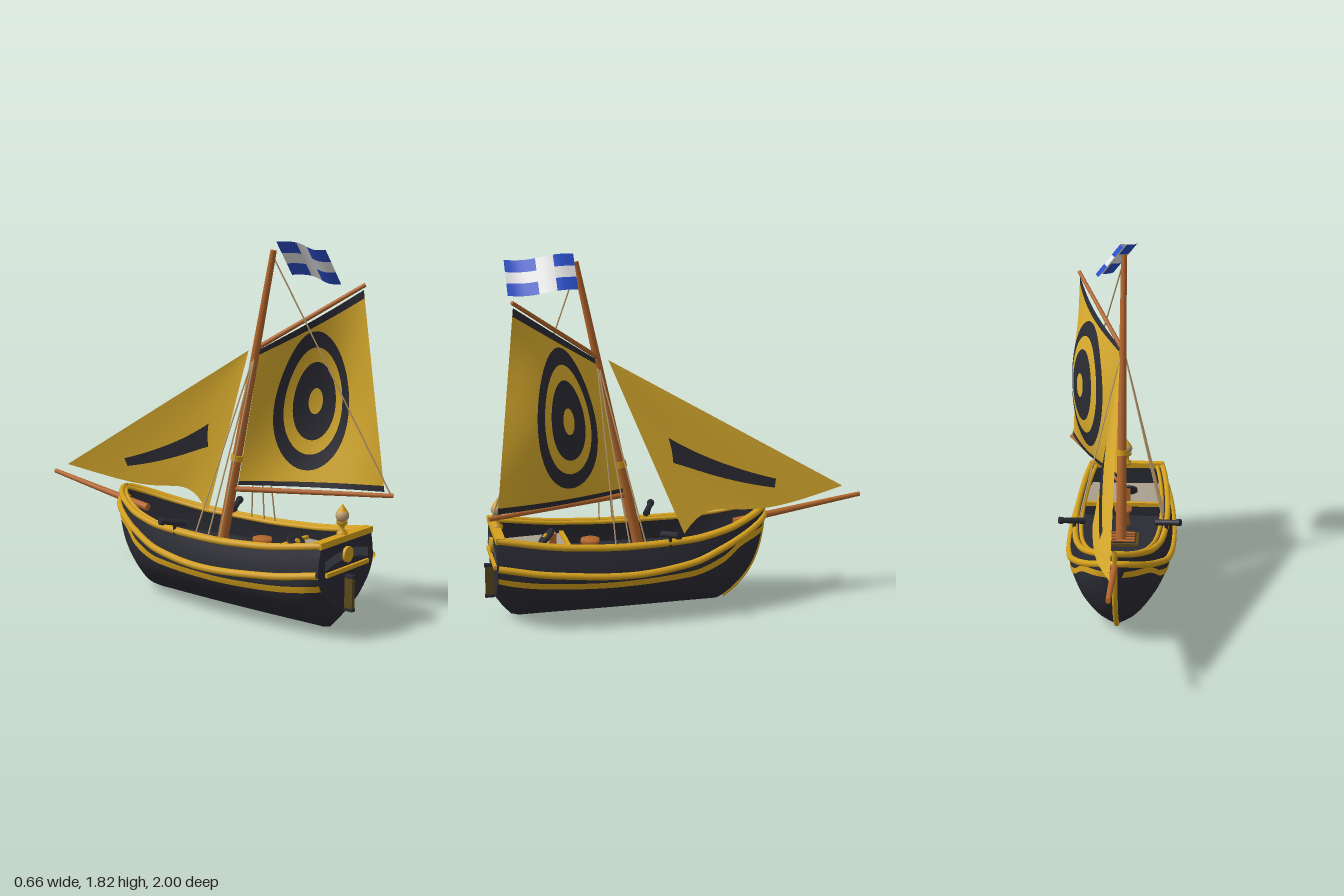
import * as THREE from 'three';

const mat = (name, color) => {
  const m = new THREE.MeshStandardMaterial({ color, side: THREE.DoubleSide });
  m.name = name;
  return m;
};
const V = (x, y, z) => new THREE.Vector3(x, y, z);
const lerp = THREE.MathUtils.lerp, clamp = THREE.MathUtils.clamp;

// smooth monotone interpolation through [x, y] pairs
function spline(p) {
  const d = p.slice(1).map((q, i) => (q[1] - p[i][1]) / (q[0] - p[i][0]));
  const m = p.map((_, i) => {
    if (i === 0) return d[0];
    if (i === p.length - 1) return d[i - 1];
    return d[i - 1] * d[i] <= 0 ? 0 : 2 * d[i - 1] * d[i] / (d[i - 1] + d[i]);
  });
  return (x) => {
    let i = 0;
    while (i < p.length - 2 && x > p[i + 1][0]) i++;
    const h = p[i + 1][0] - p[i][0], t = clamp((x - p[i][0]) / h, 0, 1), s = 1 - t;
    return p[i][1] * (1 + 2 * t) * s * s + m[i] * h * t * s * s +
      p[i + 1][1] * t * t * (3 - 2 * t) - m[i + 1] * h * t * t * s;
  };
}

// grid surface from fn(u, v) -> Vector3
function patch(fn, u0, u1, v0, v1, nu, nv) {
  const pos = [], idx = [];
  for (let i = 0; i <= nu; i++) for (let j = 0; j <= nv; j++)
    pos.push(...fn(lerp(u0, u1, i / nu), lerp(v0, v1, j / nv)).toArray());
  for (let i = 0; i < nu; i++) for (let j = 0; j < nv; j++) {
    const a = i * (nv + 1) + j, b = a + nv + 1;
    idx.push(a, b, a + 1, b, b + 1, a + 1);
  }
  const g = new THREE.BufferGeometry();
  g.setAttribute('position', new THREE.Float32BufferAttribute(pos, 3));
  g.setIndex(idx);
  g.computeVertexNormals();
  return g;
}

// hull lines, all along z (bow at -z)
const BOW = -0.46, STERN = 0.95;
const sheer = spline([[BOW, 0.5], [-0.4, 0.475], [-0.2, 0.42], [0, 0.395], [0.3, 0.39], [0.6, 0.405], [STERN, 0.455]]);
const keel = spline([[BOW, 0.49], [-0.452, 0.38], [-0.43, 0.27], [-0.39, 0.17], [-0.33, 0.09], [-0.26, 0.03], [-0.2, 0], [0.84, 0], [0.87, 0.01], [STERN, 0.11]]);
const beam = spline([[BOW, 0.012], [-0.45, 0.04], [-0.4, 0.1], [-0.3, 0.165], [-0.2, 0.21], [0, 0.255], [0.2, 0.273], [0.4, 0.278], [0.6, 0.272], [0.8, 0.255], [STERN, 0.23]]);
const section = spline([[0, 0], [0.1, 0.38], [0.27, 0.7], [0.43, 0.9], [0.62, 1], [0.8, 0.97], [1, 0.9]]);
const wale = spline([[BOW, 0.45], [-0.35, 0.4], [-0.2, 0.345], [0, 0.285], [0.3, 0.257], [0.7, 0.285], [STERN, 0.325]]);
const stripe = spline([[BOW, 0.39], [-0.3, 0.35], [-0.18, 0.28], [0, 0.23], [0.4, 0.213], [0.7, 0.225], [STERN, 0.255]]);
const hullX = (z, y) => beam(z) * section(clamp((y - keel(z)) / (sheer(z) - keel(z)), 0, 1));
const innerX = (z, y) => Math.max(0, hullX(z, y) - 0.032);
const zAt = (u) => BOW + (STERN - BOW) * Math.pow(u, 1.6);

export function createModel() {
  const M = {
    gold: mat('gold trim', 0xd4a01c), sail: mat('sail yellow', 0xdcae2e), wood: mat('spar wood', 0xb4662c),
    dark: mat('dark hull', 0x2b2b34), blue: mat('flag blue', 0x2a4fc8), white: mat('flag white', 0xe4e4e4),
    deck: mat('pale deck', 0xa9a08e), rope: mat('rope tan', 0xc2a273), olive: mat('olive wood', 0x5c4a1c),
    slate: mat('slate panel', 0x4b4e5c),
  };
  const root = new THREE.Group(), ship = new THREE.Group();
  root.name = 'sailingBoat';
  ship.name = 'boat';
  ship.position.x = -0.013;
  root.add(ship);

  const add = (name, geo, m, p) => {
    const o = new THREE.Mesh(geo, m);
    o.name = name;
    if (p) o.position.set(...p);
    ship.add(o);
    return o;
  };
  const box = (name, m, sx, sy, sz, p) => add(name, new THREE.BoxGeometry(sx, sy, sz), m, p);
  const rod = (name, m, a, b, r0, r1 = r0, n = 12) => {
    const o = add(name, new THREE.CylinderGeometry(r1, r0, a.distanceTo(b), n), m);
    o.position.copy(a).lerp(b, 0.5);
    o.quaternion.setFromUnitVectors(V(0, 1, 0), b.clone().sub(a).normalize());
    return o;
  };
  const tube = (name, m, pts, r) => add(name, new THREE.TubeGeometry(new THREE.CatmullRomCurve3(pts), 64, r, 8), m);

  // hull sides, bulwarks, decks and trim, mirrored
  const MAIN = 0.28, QUARTER = 0.345;
  const deckY = (z) => Math.min(Math.max(MAIN, keel(z) + 0.04), sheer(z) - 0.005);
  for (const s of [1, -1]) {
    const side = s > 0 ? 'left' : 'right';
    add(side + 'HullSide', patch((u, t) => {
      const z = zAt(u);
      return V(s * beam(z) * section(t), lerp(keel(z), sheer(z), t), z);
    }, 0, 1, 0, 1, 56, 20), M.dark);
    add(side + 'InnerWall', patch((u, t) => {
      const z = zAt(u), y = lerp(deckY(z), sheer(z), t);
      return V(s * innerX(z, y), y, z);
    }, 0, 1, 0, 1, 40, 4), M.dark);
    add(side + 'BulwarkTop', patch((u, t) => {
      const z = zAt(u);
      return V(s * lerp(innerX(z, sheer(z)), hullX(z, sheer(z)), t), sheer(z), z);
    }, 0, 1, 0, 1, 40, 1), M.dark);
    add(side + 'MainDeck', patch((u, t) => {
      const z = zAt(u);
      return V(s * t * innerX(z, deckY(z)), deckY(z), z);
    }, 0, 1, 0, 1, 40, 1), M.dark);
    add(side + 'QuarterDeck', patch((z, t) => V(s * t * innerX(z, QUARTER), QUARTER, z), 0.575, 0.93, 0, 1, 8, 1), M.deck);
    const rail = (name, yFn, off, r) => tube(side + name, M.gold, Array.from({ length: 29 }, (_, i) => {
      const z = zAt(i / 28), y = yFn(z);
      return V(s * Math.max(0, hullX(z, y) + off), y, z);
    }), r);
    rail('CapRail', (z) => sheer(z) + 0.003, -0.002, 0.016);
    rail('InnerRail', (z) => sheer(z) + 0.002, -0.034, 0.011);
    rail('Wale', wale, 0.006, 0.017);
    add(side + 'Stripe', patch((u, t) => {
      const z = Math.max(zAt(u), -0.445), y = stripe(z) + t * 0.016;
      return V(s * (hullX(z, y) + 0.004), y, z);
    }, 0, 1, -1, 1, 56, 2), M.gold);

    // swivel guns
    rod(side + 'GunBarrel', M.dark, V(s * 0.19, 0.43, 0.125), V(s * 0.315, 0.453, 0.07), 0.017, 0.014);
    rod(side + 'GunMuzzle', M.dark, V(s * 0.3, 0.45, 0.077), V(s * 0.318, 0.454, 0.069), 0.019);
    rod(side + 'GunPost', M.dark, V(s * 0.243, 0.38, 0.1), V(s * 0.243, 0.44, 0.1), 0.009);

    // shrouds
    for (const z of [0.22, 0.3, 0.37])
      rod(side + 'Shroud', M.rope, V(0, 1.31, 0.414), V(s * 0.225, 0.4, z), 0.004, 0.004, 5);
  }

  // transom and stern fittings
  const half = Array.from({ length: 17 }, (_, i) => [beam(STERN) * section(i / 16), lerp(keel(STERN), sheer(STERN), i / 16)]);
  const outline = new THREE.Shape([...half, ...half.slice(1).reverse().map(([x, y]) => [-x, y])].map((p) => new THREE.Vector2(...p)));
  add('transom', new THREE.ExtrudeGeometry(outline, { depth: 0.03, bevelEnabled: false }), M.dark, [0, 0, 0.922]);
  box('sternRail', M.gold, 0.43, 0.03, 0.045, [0, 0.457, 0.935]);
  box('sternBar', M.gold, 0.35, 0.02, 0.02, [0, 0.313, 0.957]);
  add('sternPanel', patch((u, t) => V(u, 0.36 + t * 0.045 - 0.9 * u * u, 0.955), -0.18, 0.18, 0, 1, 16, 1), M.slate);
  rod('sternDisc', M.gold, V(0, 0.38, 0.95), V(0, 0.38, 0.967), 0.038, 0.038, 24);
  box('rudder', M.olive, 0.022, 0.165, 0.045, [0, 0.195, 0.972]);
  for (const y of [0.115, 0.275]) box('rudderBand', M.dark, 0.026, 0.014, 0.048, [0, y, 0.974]);

  // stern lantern
  const lamp = [[0, 0.46], [0.026, 0.46], [0.026, 0.478], [0.012, 0.49], [0.012, 0.51], [0.026, 0.52], [0.026, 0.535]];
  add('lanternBase', new THREE.LatheGeometry(lamp.map((p) => new THREE.Vector2(...p)), 16), M.gold, [0, 0, 0.925]);
  add('lanternGlass', new THREE.SphereGeometry(0.032, 16, 12), M.rope, [0, 0.56, 0.925]);
  add('lanternCap', new THREE.ConeGeometry(0.025, 0.035, 16), M.gold, [0, 0.598, 0.925]);

  // stem post
  tube('stemPost', M.gold, [-0.24, -0.28, -0.33, -0.37, -0.41, -0.435, -0.452, BOW].map((z) => V(0, keel(z), z)).concat(V(0, 0.515, BOW)), 0.014);

  // deck fittings
  box('deckBulkhead', M.dark, 0.44, 0.07, 0.01, [0, 0.31, 0.58]);
  box('deckBeam', M.gold, 0.44, 0.022, 0.022, [0, 0.35, 0.574]);
  box('gratingFrame', M.olive, 0.19, 0.016, 0.17, [0, 0.288, 0.22]);
  box('gratingBed', M.dark, 0.16, 0.004, 0.14, [0, 0.298, 0.22]);
  for (let i = 0; i < 4; i++) box('gratingSlat', M.wood, 0.15, 0.006, 0.018, [0, 0.302, 0.166 + i * 0.036]);
  const drum = [[0, 0.28], [0.045, 0.28], [0.032, 0.31], [0.032, 0.34], [0.048, 0.355], [0.048, 0.375], [0, 0.375]];
  add('capstan', new THREE.LatheGeometry(drum.map((p) => new THREE.Vector2(...p)), 12), M.wood, [0, 0, 0.46]);
  box('wheelStand', M.wood, 0.045, 0.07, 0.035, [-0.01, 0.38, 0.65]);
  rod('wheel', M.dark, V(-0.02, 0.39, 0.675), V(-0.02, 0.399, 0.684), 0.052, 0.052, 20);
  rod('wheelHub', M.gold, V(-0.02, 0.398, 0.683), V(-0.02, 0.404, 0.689), 0.014);

  // mast and spars
  const mastZ = (y) => 0.225 + 0.208 * (y - 0.4);
  const onMast = (y) => V(0, y, mastZ(y));
  rod('mast', M.wood, onMast(0.27), onMast(1.775), 0.029, 0.015, 16);
  rod('mastCollar', M.gold, onMast(0.74), onMast(0.77), 0.031, 0.031, 16);
  rod('bowsprit', M.wood, V(0, 0.41, -0.3), V(0, 0.515, -0.998), 0.02, 0.012);
  rod('gaff', M.wood, V(0.01, 1.305, 0.41), V(0.263, 1.615, 0.855), 0.012, 0.01);
  rod('boom', M.wood, V(0, 0.593, 0.27), V(0.328, 0.606, 0.998), 0.014, 0.011);
  rod('toppingLift', M.rope, onMast(1.75), V(0.325, 0.61, 0.985), 0.004, 0.004, 5);

  // mainsail with rings painted on both faces
  const [A, B, C, D] = [V(0.02, 0.612, 0.29), V(0.315, 0.622, 0.955), V(0.015, 1.3, 0.425), V(0.258, 1.59, 0.85)];
  const main = (u, v) => {
    const p = A.clone().lerp(B, u).lerp(C.clone().lerp(D, u), v);
    p.x += 0.11 * Math.sin(Math.PI * u) * (0.25 + 0.75 * Math.sin(Math.PI * v));
    return p;
  };
  add('mainsail', patch(main, 0, 1, 0.03, 0.96, 28, 28), M.sail);
  add('mainsailFoot', patch(main, 0, 1, 0, 0.03, 28, 1), M.dark);
  add('mainsailHead', patch(main, 0, 1, 0.96, 1, 28, 1), M.dark);
  for (const s of [1, -1]) {
    const off = V(0.9, 0, -0.4).multiplyScalar(0.0045 * s);
    for (const [r0, r1] of [[0.225, 0.29], [0.055, 0.165]])
      add('sailRing', patch((a, r) => main(0.44 + r * Math.cos(a), 0.52 + r * 1.45 * Math.sin(a)).add(off),
        0, Math.PI * 2, r0, r1, 48, 4), M.dark);
  }

  // jib with a dark band on both faces
  const [tack, head, clew] = [V(0, 0.565, -0.9), V(0.012, 1.29, 0.357), V(0.135, 0.405, 0)];
  const jib = (u, v) => {
    const p = tack.clone().lerp(clew, u).lerp(head, v);
    p.x += 0.03 * Math.sin(Math.PI * u) * (1 - v);
    p.y += 0.085 * Math.sin(Math.PI * Math.pow(u, 4)) * Math.pow(1 - v, 3);
    return p;
  };
  add('jib', patch(jib, 0, 1, 0, 1, 28, 24), M.sail);
  for (const s of [1, -1])
    add('jibBand', patch((a, b) => jib(
      lerp(lerp(0.724, 0.26, a), lerp(0.85, 0.331, a), b),
      lerp(lerp(0.518, 0.152, a), lerp(0.367, 0.107, a), b)).add(V(0.0045 * s, 0, 0)), 0, 1, 0, 1, 16, 6), M.dark);

  // flag: cross and four corners
  const flag = (u, v) => V(0.005 + 0.13 * v - 0.04 * u + 0.03 * Math.sin(Math.PI * 1.6 * u),
    1.815 - 0.16 * v - 0.03 * u + 0.008 * Math.sin(Math.PI * 2 * u), 0.522 + 0.328 * u);
  const us = [0, 0.31, 0.56, 1], vs = [0, 0.34, 0.65, 1];
  for (let i = 0; i < 3; i++) for (let j = 0; j < 3; j++) {
    const cross = i === 1 || j === 1;
    add(cross ? 'flagCross' : 'flagCorner', patch(flag, us[i], us[i + 1], vs[j], vs[j + 1], 6, 3), cross ? M.white : M.blue);
  }
  return root;
}
